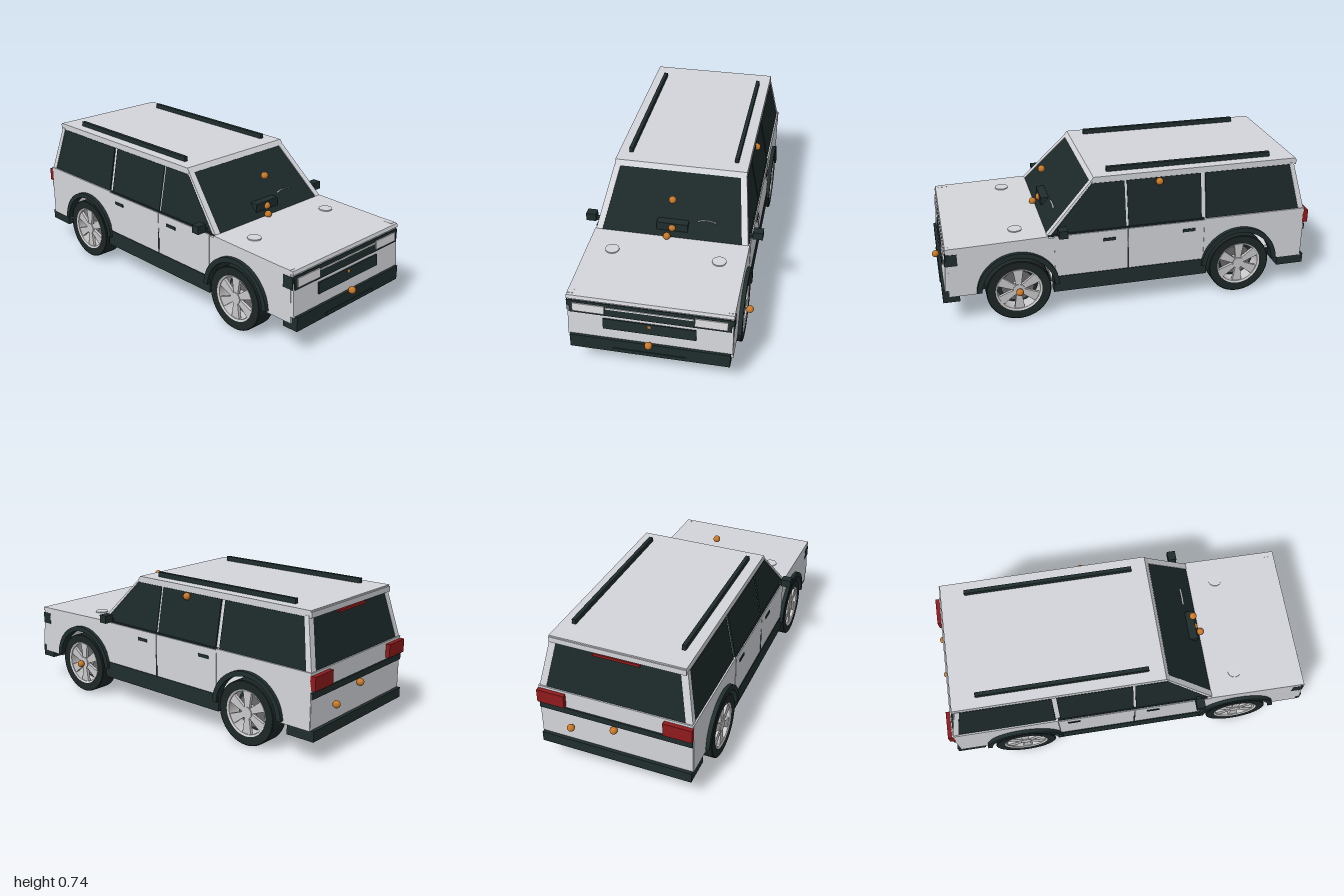
import * as THREE from 'three';
import { ConvexGeometry } from 'three/addons/geometries/ConvexGeometry.js';
import { toCreasedNormals } from 'three/addons/utils/BufferGeometryUtils.js';

const mat = (name, color) => Object.assign(new THREE.MeshStandardMaterial({ color }), { name });
const paint = mat('body paint', 0xd3d5da);
const trim = mat('dark trim', 0x202d2d);
const glass = mat('dark glass', 0x1c2828);
const rubber = mat('tyre rubber', 0x1d2626);
const alloy = mat('alloy', 0xc8c8ca);
const lamp = mat('headlamp', 0xdcdce0);
const red = mat('tail lamp red', 0x8e1a1c);
const orange = mat('marker orange', 0xc87828);
const pipeMetal = mat('exhaust metal', 0x82756a);
const steel = mat('brake steel', 0x68686a);

export function createModel() {
  const car = new THREE.Group();
  car.name = 'offRoadWagon';

  const add = (name, geo, material, parent = car) => {
    const m = new THREE.Mesh(geo, material);
    m.name = name;
    parent.add(m);
    return m;
  };
  // box given by its min and max on each axis
  const box = (name, material, x0, x1, y0, y1, z0, z1) =>
    add(name, new THREE.BoxGeometry(x1 - x0, y1 - y0, z1 - z0)
      .translate((x0 + x1) / 2, (y0 + y1) / 2, (z0 + z1) / 2), material);
  const hull = (name, material, pts) =>
    add(name, new ConvexGeometry(pts.map(p => new THREE.Vector3(...p))), material);
  // profile in (z, y) extruded across x from x0 to x1
  const across = (name, material, shape, x0, x1) =>
    add(name, new THREE.ExtrudeGeometry(shape, { depth: x1 - x0, bevelEnabled: false, curveSegments: 24 })
      .rotateY(-Math.PI / 2).translate(x1, 0, 0), material);
  const tube = (name, material, pts, r) =>
    add(name, new THREE.TubeGeometry(new THREE.CatmullRomCurve3(pts.map(p => new THREE.Vector3(...p))), 32, r, 10), material);
  const sideSpan = (s, a, b) => s > 0 ? [a, b] : [-b, -a];

  // leaning surfaces
  const sideX = y => 0.392 - (y - 0.445) * 0.19;
  const screenZ = y => 0.432 - (y - 0.445) * 0.96;
  const tailZ = y => -0.945 + (y - 0.445) * 0.23;
  const noseZ = y => 0.957 - (y - 0.2) * 0.09;
  // plate lying on a leaning surface: left and right x at bottom and top
  const leaning = (name, material, zAt, xs, y0, y1, out, back) => {
    const [a0, b0, a1, b1] = xs;
    hull(name, material, [[a0, y0], [b0, y0], [a1, y1], [b1, y1]]
      .flatMap(([x, y]) => [[x, y, zAt(y) + out], [x, y, zAt(y) + back]]));
  };
  // plate on the leaning cabin side, outline in (z, y)
  const cabinSide = (name, material, s, pts, out = 0, depth = 0.02) =>
    hull(name, material, pts.flatMap(([z, y]) =>
      [[s * (sideX(y) + out), y, z], [s * (sideX(y) + out - depth), y, z]]));

  // nose and bonnet
  leaning('noseFascia', paint, noseZ, [-0.4, 0.4, -0.395, 0.395], 0.2, 0.425, 0, -0.06);
  hull('bonnet', paint, [-0.4, 0.4].flatMap(x =>
    [[x, 0.412, 0.945], [x, 0.43, 0.94], [x, 0.442, 0.43], [x, 0.415, 0.43]]));
  box('cowl', trim, -0.385, 0.385, 0.40, 0.44, 0.36, 0.435);
  leaning('grille', trim, noseZ, [-0.39, 0.39, -0.39, 0.39], 0.335, 0.403, 0.005, -0.004);
  leaning('grilleStrip', lamp, noseZ, [-0.21, 0.21, -0.21, 0.21], 0.376, 0.384, 0.009, 0.002);
  leaning('lowerIntake', trim, noseZ, [-0.225, 0.225, -0.225, 0.225], 0.26, 0.318, 0.006, -0.003);
  box('frontBumper', trim, -0.39, 0.39, 0.13, 0.205, 0.885, 0.97);
  box('bumperPlate', trim, -0.18, 0.18, 0.134, 0.155, 0.965, 0.974);
  box('frontSkidPlate', trim, -0.2, 0.2, 0.105, 0.13, 0.8, 0.9);

  // lower flanks, doors and arches, both sides
  const fender = (zc, zFar, zNear) => {
    const s = new THREE.Shape(), r = 0.192, front = zFar > zc;
    s.moveTo(zFar, 0.165);
    s.lineTo(zc + (front ? r : -r), 0.165);
    s.absarc(zc, 0.165, r, front ? 0 : Math.PI, front ? Math.PI : 0, !front);
    s.lineTo(zNear, 0.165);
    s.lineTo(zNear, 0.432);
    s.lineTo(zFar - (front ? 0.015 : 0), 0.432);
    return s;
  };
  const flare = zc => {
    const s = new THREE.Shape();
    s.absarc(zc, 0.165, 0.211, 0.06, Math.PI - 0.06, false);
    s.absarc(zc, 0.165, 0.185, Math.PI - 0.06, 0.06, true);
    return s;
  };
  for (const s of [1, -1]) {
    across('frontFender', paint, fender(0.59, 0.94, 0.393), ...sideSpan(s, 0.37, 0.4));
    across('rearQuarter', paint, fender(-0.59, -0.95, -0.392), ...sideSpan(s, 0.37, 0.4));
    for (const z of [0.59, -0.59]) across('archFlare', trim, flare(z), ...sideSpan(s, 0.375, 0.42));
    box('frontDoor', paint, ...sideSpan(s, 0.375, 0.402), 0.2, 0.44, 0.02, 0.4);
    box('rearDoor', paint, ...sideSpan(s, 0.375, 0.402), 0.2, 0.44, -0.39, 0.017);
    box('doorGap', trim, ...sideSpan(s, 0.398, 0.404), 0.2, 0.33, 0.014, 0.022);
    box('sill', trim, ...sideSpan(s, 0.35, 0.406), 0.125, 0.213, -0.41, 0.41);
    for (const z of [0.118, -0.308]) box('doorHandle', trim, ...sideSpan(s, 0.4, 0.406), 0.384, 0.4, z - 0.033, z + 0.033);
    box('beltLine', trim, ...sideSpan(s, 0.37, 0.397), 0.436, 0.448, -0.39, 0.41);
    box('quarterShoulder', paint, ...sideSpan(s, 0.37, 0.4), 0.425, 0.445, -0.95, -0.39);
    box('lampCorner', trim, ...sideSpan(s, 0.385, 0.4015), 0.337, 0.4, 0.885, 0.942);
    leaning('headlamp', lamp, noseZ, [...sideSpan(s, 0.217, 0.372), ...sideSpan(s, 0.217, 0.372)], 0.346, 0.39, 0.01, 0.001);
    // door mirror
    box('mirror', trim, ...sideSpan(s, 0.408, 0.46), 0.45, 0.492, 0.34, 0.385);
    box('mirrorArm', trim, ...sideSpan(s, 0.375, 0.415), 0.45, 0.465, 0.35, 0.375);
    // side glass and pillars
    cabinSide('frontSideGlass', glass, s, [[0.41, 0.447], [0.195, 0.683], [0.026, 0.683], [0.026, 0.447]]);
    cabinSide('rearSideGlass', glass, s, [[0.014, 0.447], [0.014, 0.683], [-0.378, 0.683], [-0.378, 0.447]]);
    cabinSide('cargoGlass', glass, s, [[-0.402, 0.445], [-0.402, 0.683], [-0.866, 0.683], [-0.918, 0.445]]);
    cabinSide('middlePillar', paint, s, [[0.028, 0.445], [0.028, 0.69], [0.012, 0.69], [0.012, 0.445]], -0.004);
    cabinSide('rearPillar', paint, s, [[-0.376, 0.445], [-0.376, 0.69], [-0.404, 0.69], [-0.404, 0.445]], -0.008);
    cabinSide('tailPillar', paint, s, [[-0.918, 0.44], [-0.866, 0.69], [-0.89, 0.69], [-0.947, 0.44]], 0.002, 0.035);
    cabinSide('screenPillar', paint, s, [[0.436, 0.445], [0.203, 0.69], [0.19, 0.69], [0.415, 0.445]], 0.001, 0.032);
    box('roofRail', trim, ...sideSpan(s, 0.27, 0.29), 0.712, 0.74, -0.775, 0.105);
    // tail lamps
    box('tailLamp', red, ...sideSpan(s, 0.255, 0.4), 0.362, 0.432, -0.974, -0.945);
    // suspension tower and its cap through the bonnet
    add('strut', new THREE.CylinderGeometry(0.025, 0.025, 0.26, 16).translate(s * 0.27, 0.3, 0.58), trim);
    add('strutCap', new THREE.CylinderGeometry(0.035, 0.035, 0.03, 24).translate(s * 0.27, 0.429, 0.58), paint);
    add('rearDamper', new THREE.CylinderGeometry(0.018, 0.018, 0.2, 12).translate(s * 0.27, 0.26, -0.59), trim);
    // chassis rail
    box('chassisRail', trim, ...sideSpan(s, 0.225, 0.27), 0.112, 0.15, -0.93, 0.9);
  }

  // roof, windscreen and tail glass
  hull('roof', paint, [-1, 1].flatMap(s => [
    [s * 0.345, 0.69, 0.203], [s * 0.345, 0.715, 0.185], [s * 0.345, 0.715, -0.9],
    [s * 0.345, 0.683, -0.9], [s * 0.345, 0.683, 0.19]]));
  leaning('windscreen', glass, screenZ, [-0.362, 0.362, -0.314, 0.314], 0.443, 0.69, 0, -0.02);
  leaning('tailGlass', glass, tailZ, [-0.362, 0.362, -0.318, 0.318], 0.443, 0.685, 0, 0.02);
  leaning('highBrakeLamp', red, tailZ, [-0.12, 0.12, -0.12, 0.12], 0.664, 0.674, -0.013, 0.002);
  box('roofLip', paint, -0.345, 0.345, 0.68, 0.708, -0.905, -0.885);
  box('dashScreen', trim, -0.08, 0.08, 0.46, 0.51, 0.36, 0.412);
  add('steeringWheel', new THREE.TorusGeometry(0.043, 0.005, 8, 24, Math.PI)
    .scale(1, 0.25, 1).translate(0.172, 0.51, 0.37), alloy);

  // tailgate and rear bumper
  box('tailgate', paint, -0.397, 0.397, 0.165, 0.445, -0.952, -0.925);
  box('tailBand', trim, -0.397, 0.397, 0.32, 0.352, -0.96, -0.945);
  box('rearBumper', trim, -0.395, 0.395, 0.115, 0.168, -0.97, -0.82);

  // underbody
  box('floorPan', paint, -0.37, 0.37, 0.15, 0.165, -0.4, 0.41);
  box('rearFloor', paint, -0.29, 0.29, 0.17, 0.185, -0.93, -0.4);
  box('bulkhead', trim, -0.36, 0.36, 0.16, 0.43, 0.385, 0.4);
  for (const z of [0.85, 0.36, -0.1, -0.53, -0.9]) box('crossMember', trim, -0.26, 0.26, 0.118, 0.15, z - 0.02, z + 0.02);
  box('fuelTank', trim, -0.21, 0.06, 0.108, 0.16, -0.5, -0.18);
  box('engine', trim, -0.13, 0.13, 0.15, 0.36, 0.45, 0.8);
  box('gearbox', trim, -0.07, 0.07, 0.125, 0.2, 0.25, 0.5);
  tube('exhaustPipe', pipeMetal, [[0.08, 0.16, 0.62], [0.17, 0.13, 0.5], [0.17, 0.125, 0.2],
    [0.15, 0.125, -0.3], [0.12, 0.125, -0.75]], 0.014);
  tube('tailPipe', pipeMetal, [[0.18, 0.125, -0.85], [0.2, 0.12, -0.9], [0.2, 0.115, -0.95]], 0.012);
  add('catalyst', new THREE.CylinderGeometry(0.034, 0.034, 0.14, 20).rotateX(Math.PI / 2).translate(0.17, 0.123, 0.36), pipeMetal);
  box('muffler', pipeMetal, -0.02, 0.2, 0.095, 0.15, -0.87, -0.74);

  // wheels and axles
  const ring = (pts, n) => toCreasedNormals(new THREE.LatheGeometry(
    pts.map(p => new THREE.Vector2(...p)), n).rotateZ(-Math.PI / 2), 0.5);
  const tyreGeo = ring([[0.118, -0.05], [0.161, -0.0525], [0.165, -0.05], [0.165, 0.05],
    [0.161, 0.0525], [0.118, 0.05], [0.118, -0.05]], 48);
  const rimGeo = ring([[0.109, -0.045], [0.119, -0.05], [0.119, 0.052], [0.109, 0.047], [0.109, -0.045]], 48);
  const spokeShape = new THREE.Shape([[-0.013, 0.02], [0.013, 0.02], [0.026, 0.11], [-0.026, 0.11]]
    .map(p => new THREE.Vector2(...p)));
  const spokeGeo = new THREE.ExtrudeGeometry(spokeShape, { depth: 0.016, bevelEnabled: false })
    .rotateY(Math.PI / 2).translate(0.027, 0, 0);
  const disc = (r, w, x) => new THREE.CylinderGeometry(r, r, w, 32).rotateZ(Math.PI / 2).translate(x, 0, 0);
  for (const z of [0.59, -0.59]) {
    add('axle', new THREE.CylinderGeometry(0.022, 0.022, 0.66, 14).rotateZ(Math.PI / 2).translate(0, 0.165, z), trim);
    for (const s of [1, -1]) {
      const wheel = new THREE.Group();
      wheel.name = 'wheel';
      wheel.position.set(s * 0.3625, 0.165, z);
      if (s < 0) wheel.rotation.y = Math.PI;
      add('tyre', tyreGeo, rubber, wheel);
      add('rim', rimGeo, alloy, wheel);
      add('brakeDisc', disc(0.085, 0.012, -0.005), steel, wheel);
      add('wheelBack', disc(0.111, 0.006, -0.03), trim, wheel);
      add('hub', disc(0.03, 0.05, 0.022), alloy, wheel);
      for (let i = 0; i < 6; i++) add('spoke', spokeGeo, alloy, wheel).rotation.x = i * Math.PI / 3;
      car.add(wheel);
    }
  }

  // small marker balls
  const ballGeo = new THREE.SphereGeometry(0.019, 20, 14);
  for (const p of [[0, 0.643, 0.39], [0, 0.484, 0.41], [-0.022, 0.452, 0.442], [0.355, 0.663, -0.157],
    [0, 0.3, 0.937], [0, 0.209, 0.98], [0.434, 0.164, 0.588], [0, 0.302, -0.966], [0.225, 0.255, -0.978]])
    add('markerBall', ballGeo, orange).position.set(...p);

  return car;
}
